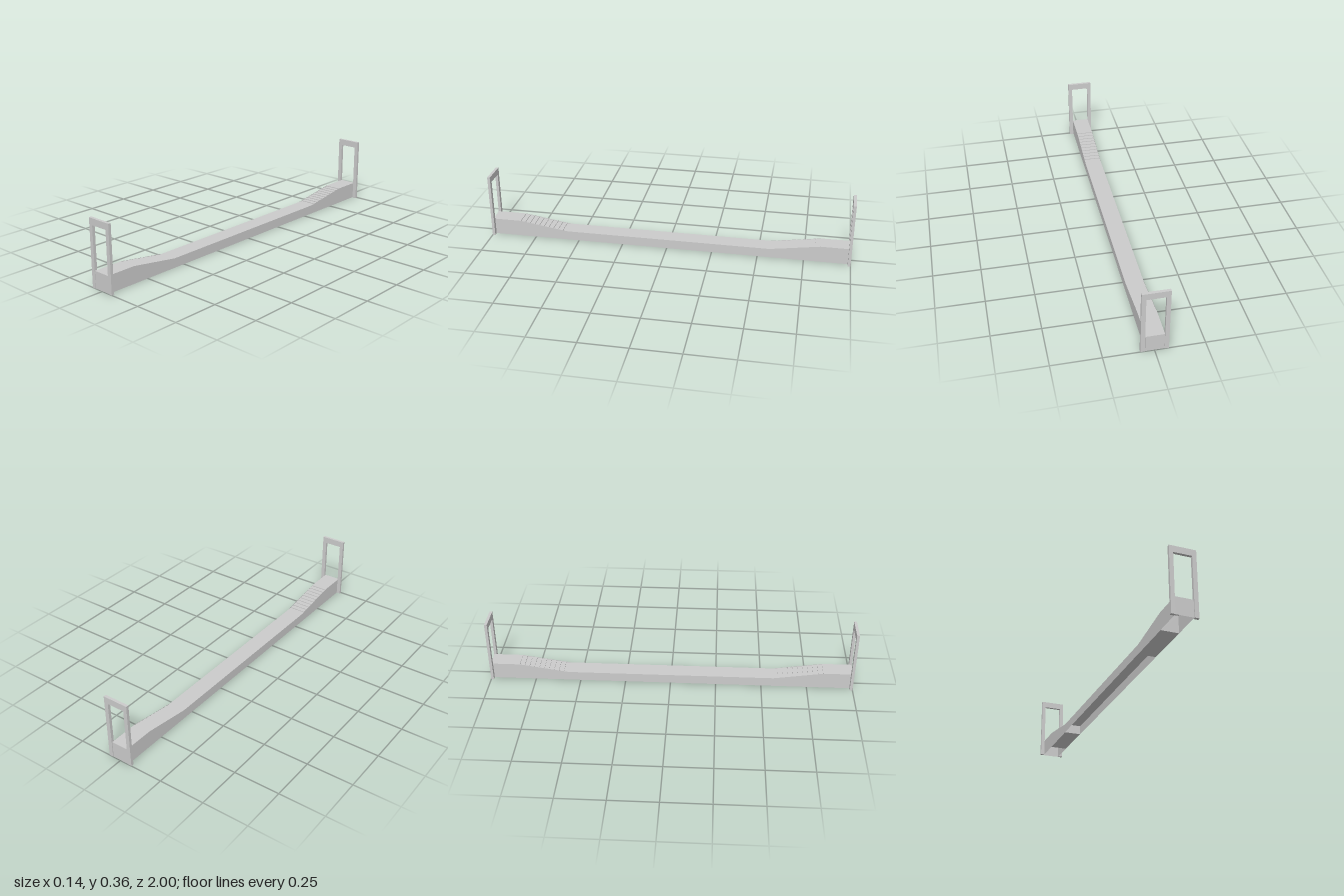
import * as THREE from 'three';

export function createModel() {
  const root = new THREE.Group();
  const solid = new THREE.MeshStandardMaterial({ color: 0xcccccc, flatShading: true });
  const sheet = new THREE.MeshStandardMaterial({ color: 0xcccccc, flatShading: true, side: THREE.DoubleSide });

  const xMin = -0.049, xMax = 0.045, width = xMax - xMin, xMid = (xMin + xMax) / 2;
  const low = 0.051, high = 0.092;            // deck and platform heights
  const zLow = 0.565, zHigh = 0.835, zEnd = 0.998;
  const steps = 10;

  const add = (name, geometry, material, parent = root) => {
    const mesh = new THREE.Mesh(geometry, material);
    mesh.name = name;
    parent.add(mesh);
    return mesh;
  };

  // Horizontal sheet between two z positions
  const flatSheet = (name, z0, z1, y, parent) => {
    const g = new THREE.PlaneGeometry(width, z1 - z0).rotateX(-Math.PI / 2);
    add(name, g.translate(xMid, y, (z0 + z1) / 2), sheet, parent);
  };

  // Upright sheet across the walkway
  const crossSheet = (name, y0, y1, z, parent) => {
    const g = new THREE.PlaneGeometry(width, y1 - y0);
    add(name, g.translate(xMid, (y0 + y1) / 2, z), sheet, parent);
  };

  // Side walls following the deck, ramps and platforms
  const profile = new THREE.Shape([
    [-zEnd, 0], [zEnd, 0], [zEnd, high], [zHigh, high], [zLow, low],
    [-zLow, low], [-zHigh, high], [-zEnd, high],
  ].map(([z, y]) => new THREE.Vector2(z, y)));
  for (const [name, x] of [['leftWall', xMax], ['rightWall', xMin]]) {
    add(name, new THREE.ShapeGeometry(profile).rotateY(-Math.PI / 2).translate(x, 0, 0), sheet);
  }

  // Sunken middle deck
  flatSheet('deck', -zLow, zLow, low, root);

  // Doorway outline, open at the bottom
  const doorway = new THREE.Shape([
    [-0.07, 0], [-0.049, 0], [-0.049, 0.323], [0.047, 0.323],
    [0.047, 0], [0.069, 0], [0.069, 0.358], [-0.07, 0.358],
  ].map(([x, y]) => new THREE.Vector2(x, y)));

  // Each end: staircase, platform, end panel and door frame
  for (const s of [1, -1]) {
    const end = new THREE.Group();
    end.name = s > 0 ? 'frontEnd' : 'backEnd';
    root.add(end);

    const run = (zHigh - zLow) / steps, rise = (high - low) / steps;
    for (let i = 0; i < steps; i++) {
      const h = low + i * rise;
      const g = new THREE.BoxGeometry(width - 0.001, h, run);
      add('step', g.translate(xMid, h / 2, s * (zLow + (i + 0.5) * run)), solid, end);
    }
    crossSheet('topRiser', high - rise, high, s * zHigh, end);

    const [z0, z1] = s > 0 ? [zHigh, zEnd] : [-zEnd, -zHigh];
    flatSheet('platform', z0, z1, high, end);
    crossSheet('endPanel', 0, high, s * zEnd, end);

    const frame = new THREE.ExtrudeGeometry(doorway, { depth: 0.015, bevelEnabled: false });
    add('doorFrame', frame.translate(0, 0, s > 0 ? 0.985 : -1), solid, end);
  }
  return root;
}
